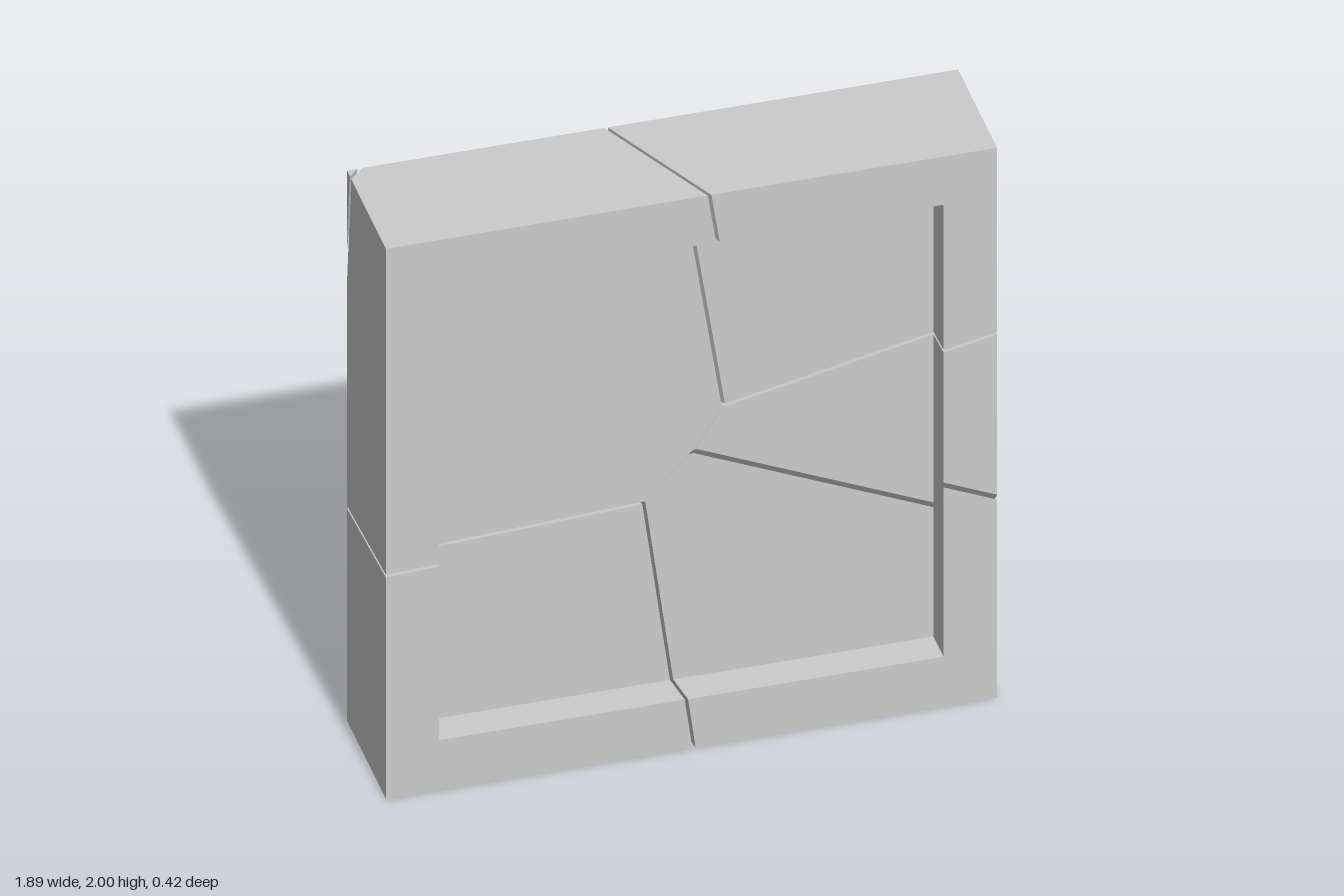
import * as THREE from 'three';

const X = 0.945, H = 2, Z = 0.21;                    // slab half width, height, half depth
const RX = 0.78, R0 = 0.18, R1 = 1.825, FLOOR = 0.1; // front recess
const GAP = 0.005;                                   // half the width of a crack

// Each shard owns the region where its function ax + by + cz + d is the largest.
const shards = {
  upperRightShard: [0, 0, 0, 0],
  upperLeftShard: [0.8425, 0.125, -0.401, -0.213],
  middleLeftShard: [1, -0.625, -0.348, 0.621],
  lowerLeftShard: [0.891, -0.862, -0.032, 0.8305],
  lowerRightShard: [0.0466, -0.972, 0.078, 0.814],
  cornerChip: [-1, 0.114, -1, -1.343],
};

// Boxes making up the framed slab, with the faces that lie on its surface.
const blocks = [
  { min: [-X, 0, -Z], max: [X, H, FLOOR], show: '-x +x -y +y -z' },
  { min: [-X, R1, FLOOR], max: [X, H, Z], show: '-x +x +y +z' },
  { min: [-X, 0, FLOOR], max: [X, R0, Z], show: '-x +x -y +z' },
  { min: [-X, R0, FLOOR], max: [-RX, R1, Z], show: '-x +z' },
  { min: [RX, R0, FLOOR], max: [X, R1, Z], show: '+x +z' },
  { min: [-RX, R0, FLOOR], max: [RX, R1, Z], show: '-x +x -y +y -z', hollow: true },
];

// Outward planes of a box
function boxPlanes({ min, max, show }) {
  return ['x', 'y', 'z'].flatMap((axis, i) => [-1, 1].map((s) => {
    const n = new THREE.Vector3().setComponent(i, s);
    const plane = new THREE.Plane(n, s > 0 ? -max[i] : min[i]);
    return { plane, shown: show.includes((s > 0 ? '+' : '-') + axis) };
  }));
}

// Planes parting a shard from its neighbours, moved inwards by half the crack
function crackPlanes(own) {
  return Object.values(shards).filter((f) => f !== own).map((f) => {
    const [a, b, c, d] = f.map((v, i) => v - own[i]);
    const plane = new THREE.Plane(new THREE.Vector3(a, b, c), d).normalize();
    plane.constant += GAP;
    return plane;
  });
}

// A large square lying in a plane, counter-clockwise about its normal
function square(plane) {
  const n = plane.normal;
  const u = new THREE.Vector3(0, 1, 0);
  if (Math.abs(n.y) > 0.9) u.set(1, 0, 0);
  u.cross(n).normalize();
  const v = n.clone().cross(u);
  const centre = n.clone().multiplyScalar(-plane.constant);
  return [[-9, -9], [9, -9], [9, 9], [-9, 9]].map(([s, t]) =>
    centre.clone().addScaledVector(u, s).addScaledVector(v, t));
}

// Keep the part of a polygon behind a plane
function clip(points, plane) {
  const out = [];
  points.forEach((p, i) => {
    const q = points[(i + 1) % points.length];
    const dp = plane.distanceToPoint(p), dq = plane.distanceToPoint(q);
    if (dp <= 0) out.push(p);
    if ((dp < 0 && dq > 0) || (dp > 0 && dq < 0)) out.push(p.clone().lerp(q, dp / (dp - dq)));
  });
  return out;
}

function shardGeometry(own) {
  const positions = [];
  const cracks = crackPlanes(own);
  for (const block of blocks) {
    const sides = boxPlanes(block);
    const planes = [...sides.map((s) => s.plane), ...cracks];
    const faces = sides.filter((s) => s.shown).map((s) => s.plane);
    if (!block.hollow) faces.push(...cracks);
    for (const face of faces) {
      let poly = square(face);
      for (const other of planes) if (other !== face) poly = clip(poly, other);
      if (block.hollow) poly.reverse();
      for (let i = 1; i < poly.length - 1; i++) {
        for (const p of [poly[0], poly[i], poly[i + 1]]) positions.push(p.x, p.y, p.z);
      }
    }
  }
  const geometry = new THREE.BufferGeometry();
  geometry.setAttribute('position', new THREE.Float32BufferAttribute(positions, 3));
  geometry.computeVertexNormals();
  return geometry;
}

export function createModel() {
  const group = new THREE.Group();
  group.name = 'crackedPanel';
  const material = new THREE.MeshStandardMaterial({ color: 0xcccccc, flatShading: true });
  for (const [name, own] of Object.entries(shards)) {
    const mesh = new THREE.Mesh(shardGeometry(own), material);
    mesh.name = name;
    group.add(mesh);
  }
  return group;
}
